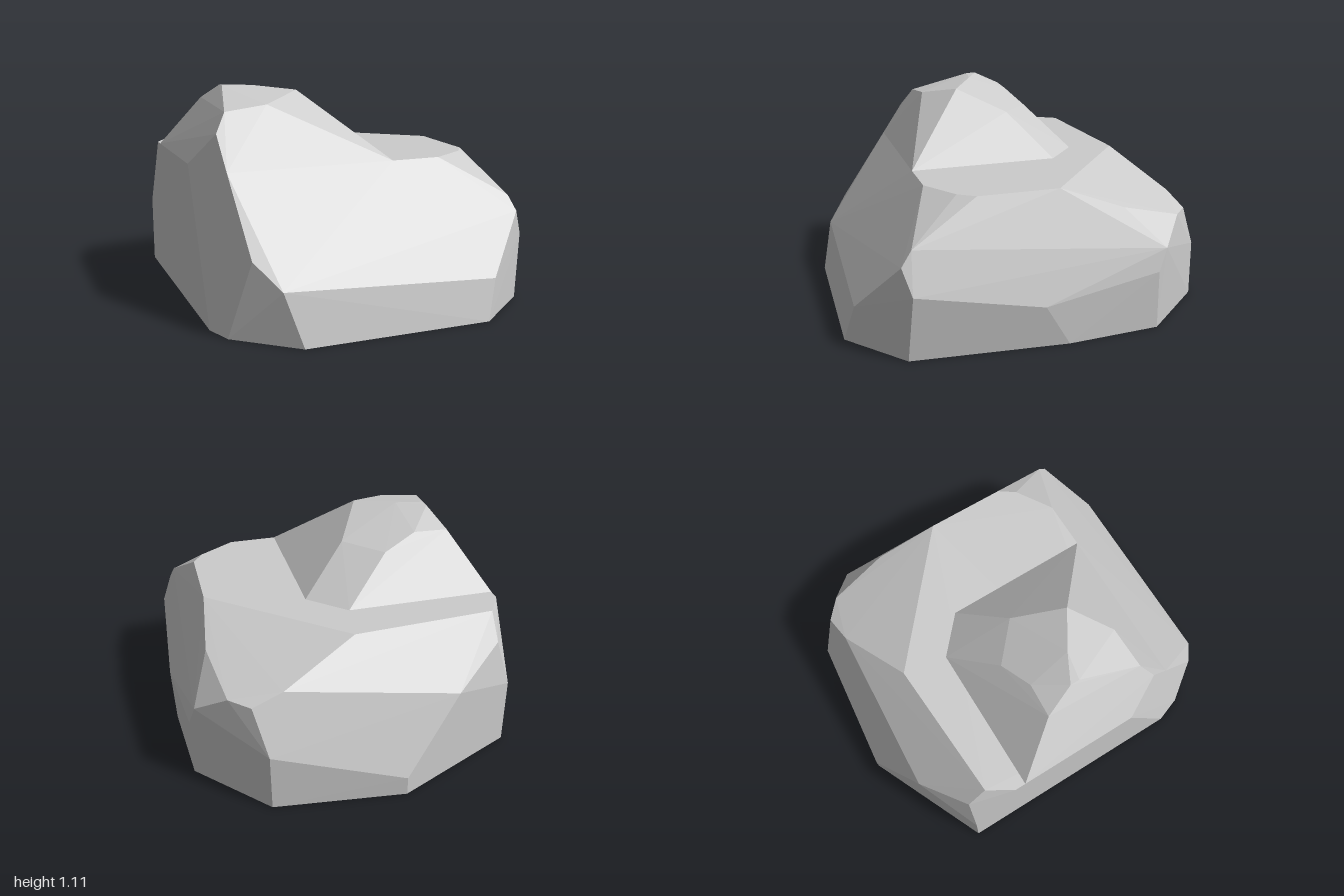
import * as THREE from 'three';
import { ConvexGeometry } from 'three/addons/geometries/ConvexGeometry.js';

const material = new THREE.MeshStandardMaterial({ color: 0xcccccc, flatShading: true });

// A chiselled stone: the convex hull of its corner points
function stone(name, corners) {
  const points = corners.map(([x, y, z]) => new THREE.Vector3(x, y, z));
  const mesh = new THREE.Mesh(new ConvexGeometry(points), material);
  mesh.name = name;
  return mesh;
}

export function createModel() {
  const group = new THREE.Group();
  group.name = 'rock';
  const shelf = 0.75; // height of the flat ledge

  // Broad lower boulder with a flat ledge on top
  group.add(stone('lowerBoulder', [
    // footprint
    [-0.51, 0, 0.98], [0.45, 0, 1], [0.77, 0, 0.74], [0.84, 0, -0.06], [0.81, 0, -0.555],
    [0.475, 0, -0.925], [-0.2, 0, -1], [-0.85, 0, -0.7], [-0.85, 0, 0.59], [-0.8, 0, 0.73],
    // front and front corners
    [-0.59, 0.26, 0.92], [-0.7, 0.385, 0.81], [0.51, 0.2, 0.95],
    [0.75, 0.475, 0.755], [0.805, 0.34, 0.715], [0.73, 0.55, 0.7],
    // +x side and back corner
    [0.85, 0.22, 0.07], [0.815, 0.31, -0.55], [0.79, 0.425, -0.6], [0.69, 0.63, -0.4],
    [0.64, 0.54, -0.73], [0.54, 0.535, -0.82], [0.48, 0.3, -0.92],
    // back
    [0.38, 0.59, -0.8], [-0.2, 0.1, -1], [-0.51, 0.46, -0.855],
    [-0.77, 0.62, -0.69], [-0.85, 0.36, -0.7],
    // ledge rim
    [-0.735, shelf, 0.55], [0.13, shelf, 0.56], [0.39, shelf, 0.56], [0.58, shelf, 0.44],
    [0.64, shelf, 0.355], [0.645, shelf, -0.07], [-0.02, shelf, -0.635],
    [-0.77, shelf, -0.59], [-0.85, shelf, -0.46], [-0.85, shelf, 0.25],
  ]));

  // Peak rising from the ledge, flush with the front and -x faces
  group.add(stone('peak', [
    // foot on the ledge
    [-0.85, shelf, 0.25], [-0.85, shelf, -0.4], [-0.06, shelf, -0.4],
    [0.13, shelf, -0.23], [0.13, shelf, 0.56], [-0.735, shelf, 0.55],
    // shoulders
    [-0.75, 0.92, 0.43], [-0.69, 1.015, 0.37], [-0.47, 1.04, 0.36], [-0.12, 0.97, -0.04],
    [-0.31, 0.96, -0.21], [-0.49, 1.03, -0.15], [-0.67, 1.03, -0.16],
    // crest
    [-0.26, 1.09, 0.21], [-0.46, 1.11, 0.08], [-0.61, 1.11, 0.05], [-0.61, 1.11, 0],
  ]));

  return group;
}
